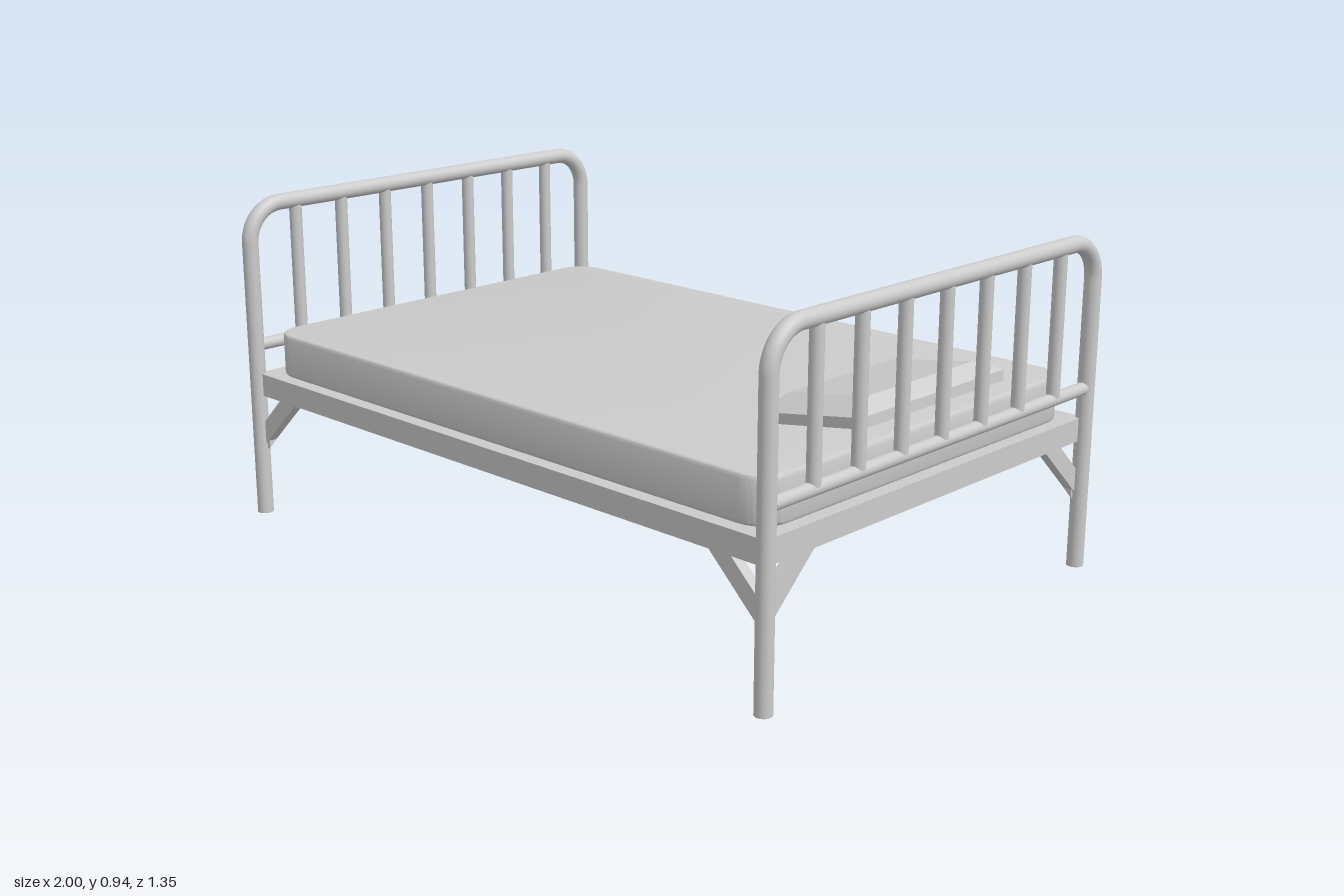
import * as THREE from 'three';
import { toCreasedNormals } from 'three/addons/utils/BufferGeometryUtils.js';

const material = new THREE.MeshStandardMaterial({ color: 0xcccccc });

function add(parent, name, geometry, x = 0, y = 0, z = 0) {
  const mesh = new THREE.Mesh(geometry, material);
  mesh.name = name;
  mesh.position.set(x, y, z);
  parent.add(mesh);
  return mesh;
}

// Tubular end: legs bent into an arch, a cross bar and seven spindles
function createEnd(name) {
  const end = new THREE.Group();
  end.name = name;
  const r = 0.023, legZ = 0.65, topY = 0.914, bend = 0.105;
  for (const s of [1, -1]) {
    add(end, 'leg', new THREE.CylinderGeometry(r, r, topY - bend, 24), 0, (topY - bend) / 2, s * legZ);
    const corner = new THREE.TorusGeometry(bend, r, 20, 16, Math.PI / 2);
    add(end, 'archCorner', corner, 0, topY - bend, s * (legZ - bend)).rotation.y = -s * Math.PI / 2;
  }
  const top = new THREE.CylinderGeometry(r, r, 2 * (legZ - bend), 24);
  add(end, 'topRail', top, 0, topY, 0).rotation.x = Math.PI / 2;
  const bar = new THREE.CylinderGeometry(0.018, 0.018, 1.27, 20);
  add(end, 'crossBar', bar, 0, 0.508, 0).rotation.x = Math.PI / 2;
  for (let i = -3; i <= 3; i++) {
    add(end, 'spindle', new THREE.CylinderGeometry(0.018, 0.018, 0.39, 20), 0, 0.71, i * 0.163);
  }
  return end;
}

// Diagonal strut, running from the leg (u = 0) up to the frame
function braceGeometry() {
  const shape = new THREE.Shape([[0, 0.2], [0.17, 0.362], [0.1, 0.362], [0, 0.267]]
    .map(([u, y]) => new THREE.Vector2(u, y)));
  return new THREE.ExtrudeGeometry(shape, { depth: 0.03, bevelEnabled: false }).translate(0, 0, -0.015);
}

// Mattress: rounded rectangle with softened edges
function mattressGeometry() {
  const b = 0.01, w = 0.943 - b, d = 0.617 - b, r = 0.075;
  const s = new THREE.Shape();
  s.moveTo(w, -d + r);
  s.absarc(w - r, d - r, r, 0, Math.PI / 2);
  s.absarc(-w + r, d - r, r, Math.PI / 2, Math.PI);
  s.absarc(-w + r, -d + r, r, Math.PI, Math.PI * 1.5);
  s.absarc(w - r, -d + r, r, Math.PI * 1.5, Math.PI * 2);
  const g = new THREE.ExtrudeGeometry(s, {
    depth: 0.125 - 2 * b, bevelThickness: b, bevelSize: b, bevelSegments: 3, curveSegments: 10,
  });
  g.rotateX(-Math.PI / 2).translate(0, b, 0);
  return toCreasedNormals(g, 0.6);
}

// Pillow: slab with a thin rim and a bevelled top, as stacked box layers
function pillowGeometry() {
  const layers = [[0.158, 0.288, 0], [0.16, 0.29, 0.028], [0.124, 0.21, 0.064]];
  const g = new THREE.BoxGeometry(2, 2, 2, 1, 2, 1);
  const p = g.attributes.position;
  for (let i = 0; i < p.count; i++) {
    const [hx, hz, y] = layers[Math.round(p.getY(i)) + 1];
    p.setXYZ(i, p.getX(i) * hx, y, p.getZ(i) * hz);
  }
  return toCreasedNormals(g, 0.2);
}

export function createModel() {
  const bed = new THREE.Group();
  bed.name = 'bed';

  for (const [name, s] of [['headEnd', 1], ['footEnd', -1]]) {
    const end = createEnd(name);
    end.position.x = s * 0.977;
    bed.add(end);
  }

  add(bed, 'frame', new THREE.BoxGeometry(1.95, 0.065, 1.3), 0, 0.3925, 0);
  add(bed, 'mattress', mattressGeometry(), 0, 0.425, 0);

  // Two struts at each leg, one along each side of the frame
  for (const sx of [1, -1]) {
    for (const sz of [1, -1]) {
      add(bed, 'sideBrace', braceGeometry(), sx * 0.97, 0, sz * 0.635).rotation.y = sx > 0 ? Math.PI : 0;
      add(bed, 'endBrace', braceGeometry(), sx * 0.96, 0, sz * 0.645).rotation.y = sz * Math.PI / 2;
    }
  }

  // Pillow leaning up towards the head end
  add(bed, 'pillow', pillowGeometry(), 0.8, 0.572, 0).rotation.z = 0.165;
  return bed;
}
